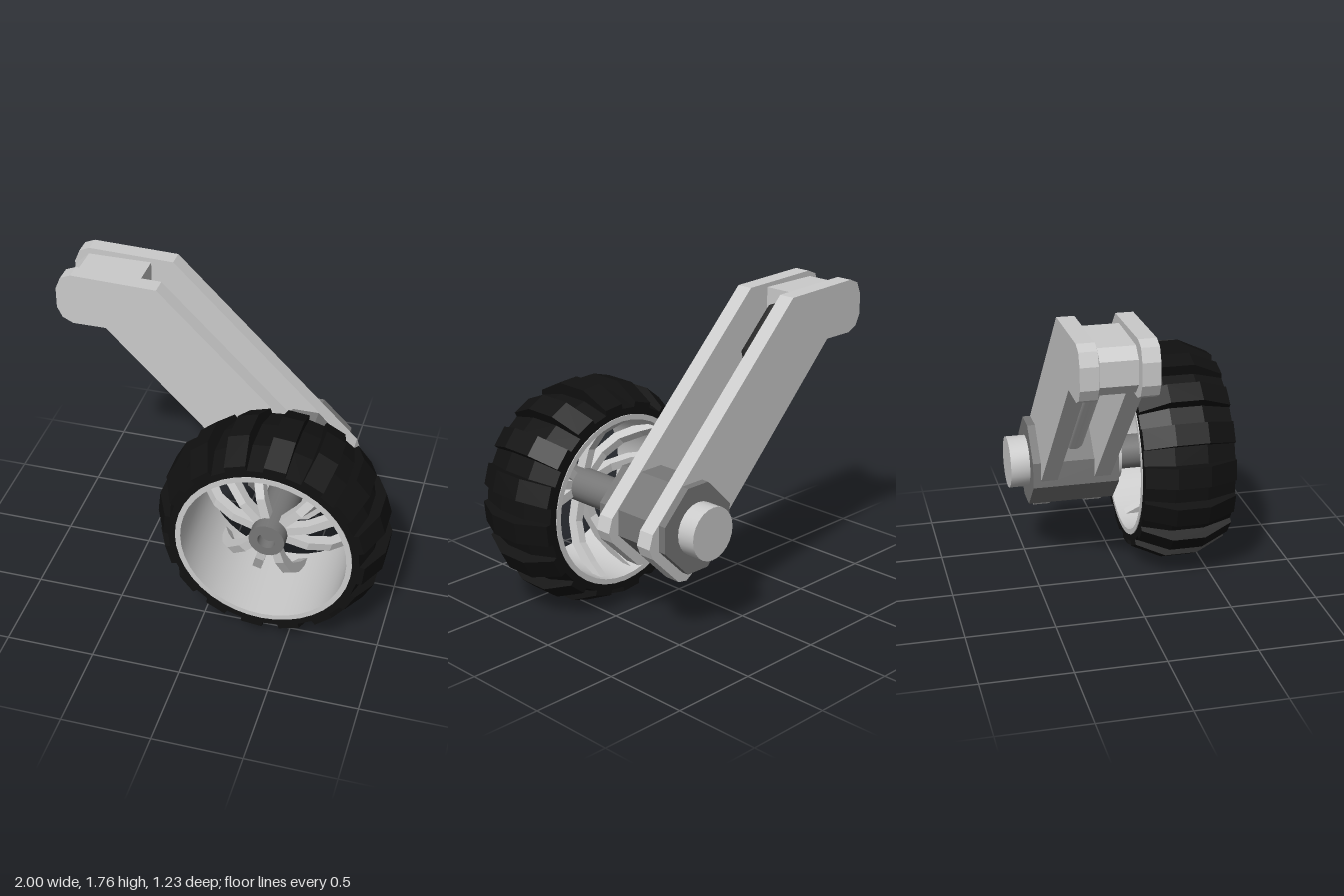
import * as THREE from 'three';
import { toCreasedNormals } from 'three/addons/utils/BufferGeometryUtils.js';

const material = (color, flatShading = false) => new THREE.MeshStandardMaterial({ color, flatShading });
const grey = material(0xcccccc);
const darkGrey = material(0x777777);
const boot = material(0x2a2a2a);
const rubber = material(0x111111, true);

const AXLE = [0.36, 0.635];

function addMesh(parent, name, geometry, mat) {
  const mesh = new THREE.Mesh(geometry, mat);
  mesh.name = name;
  parent.add(mesh);
  return mesh;
}

const points = (list) => list.map(([x, y]) => new THREE.Vector2(x, y));

// Solid of revolution about z, from [radius, z] points running counter-clockwise
function turned(profile, sides) {
  const geometry = new THREE.LatheGeometry(points(profile), sides).rotateX(Math.PI / 2);
  return toCreasedNormals(geometry, 0.6);
}

// Outline in x, y pulled from z0 to z1
function slab(outline, z0, z1) {
  const geometry = new THREE.ExtrudeGeometry(new THREE.Shape(points(outline)), {
    depth: z1 - z0, bevelEnabled: false,
  });
  return geometry.translate(0, 0, z0);
}

// Outline in [radius, z], given a tangential thickness
function radialBlade(outline, thickness) {
  return slab(outline, -thickness / 2, thickness / 2).rotateX(Math.PI / 2);
}

function createWheel() {
  const wheel = new THREE.Group();
  wheel.name = 'wheel';

  // Tyre carcass and its cross lugs
  addMesh(wheel, 'tyre', turned([
    [0.485, 0.08], [0.53, 0.08], [0.575, 0.25], [0.575, 0.44],
    [0.53, 0.61], [0.485, 0.61], [0.485, 0.08],
  ], 32), rubber);
  const lug = radialBlade([
    [0.5, 0.08], [0.555, 0.08], [0.635, 0.25], [0.635, 0.44], [0.555, 0.61], [0.5, 0.61],
  ], 0.12);
  for (let i = 0; i < 16; i++) {
    addMesh(wheel, 'treadLug', lug, rubber).rotation.z = (84 + i * 22.5) * Math.PI / 180;
  }

  // Rim barrel
  addMesh(wheel, 'rim', turned([
    [0.46, 0.075], [0.49, 0.075], [0.49, 0.615], [0.46, 0.615], [0.46, 0.075],
  ], 40), grey);

  // Curved spokes in three sets of three
  const upper = [[0.07, 0.46], [0.22, 0.45], [0.34, 0.39], [0.42, 0.29], [0.47, 0.16]];
  const lower = [[0.47, 0.1], [0.4, 0.22], [0.32, 0.33], [0.21, 0.39], [0.07, 0.4]];
  const spoke = radialBlade([...upper, ...lower], 0.05);
  for (let set = 0; set < 3; set++) {
    for (const offset of [-15, 15, 45]) {
      addMesh(wheel, 'spoke', spoke, grey).rotation.z = (set * 120 + offset) * Math.PI / 180;
    }
  }

  // Hub shaft with a shallow bore
  addMesh(wheel, 'hub', turned([
    [0, 0], [0.1, 0], [0.1, 0.53], [0.05, 0.53], [0.05, 0.47], [0, 0.47],
  ], 20), darkGrey);

  wheel.position.set(AXLE[0], AXLE[1], 0);
  return wheel;
}

function createMount() {
  const mount = new THREE.Group();
  mount.name = 'axleMount';

  // Chamfered square block passing through both arms
  const s = 0.245, c = 0.075;
  const outline = [[s, -c], [s, c], [c, s], [-c, s], [-s, c], [-s, -c], [-c, -s], [c, -s]];
  addMesh(mount, 'axleBlock', slab(outline, -0.5, 0), darkGrey);

  // Round collars at front and back
  for (const [name, z0, z1] of [['frontCollar', -0.02, 0.04], ['rearCap', -0.61, -0.48]]) {
    addMesh(mount, name, turned([[0, z0], [0.15, z0], [0.15, z1], [0, z1]], 24), grey);
  }
  mount.position.set(AXLE[0], AXLE[1], 0);
  return mount;
}

function createFork() {
  const fork = new THREE.Group();
  fork.name = 'fork';

  // Pair of cranked arm plates
  const arm = [
    [-0.42, 1.74], [-0.91, 1.755], [-0.97, 1.73], [-1, 1.66], [-1, 1.54], [-0.97, 1.48],
    [-0.91, 1.45], [-0.72, 1.45], [0.34, 0.37], [0.4, 0.33], [0.46, 0.34],
    [0.65, 0.53], [0.675, 0.59], [0.65, 0.67],
  ];
  addMesh(fork, 'frontArm', slab(arm, -0.145, -0.05), grey);
  addMesh(fork, 'rearArm', slab(arm, -0.455, -0.36), grey);

  // Pivot block between the upper ends
  const pivot = [
    [-0.545, 1.725], [-0.91, 1.725], [-0.97, 1.67], [-0.97, 1.54], [-0.91, 1.48], [-0.545, 1.48],
  ];
  addMesh(fork, 'pivotBlock', slab(pivot, -0.35, -0.155), grey);

  // Damper rod and its boot, lying along the arms
  const damper = new THREE.Group();
  damper.name = 'damper';
  addMesh(damper, 'rod', new THREE.CylinderGeometry(0.062, 0.062, 1.2, 16).translate(0, -0.65, 0), grey);
  const sleeve = new THREE.LatheGeometry(points([
    [0, -0.36], [0.07, -0.36], [0.095, -0.33], [0.095, -0.03], [0.07, 0], [0, 0],
  ]), 12);
  addMesh(damper, 'boot', toCreasedNormals(sleeve, 0.6), boot);
  damper.position.set(-0.59, 1.6, -0.25);
  damper.rotation.z = Math.PI / 4;
  fork.add(damper);
  return fork;
}

export function createModel() {
  const model = new THREE.Group();
  model.name = 'wheelAssembly';
  model.add(createWheel(), createMount(), createFork());
  return model;
}
